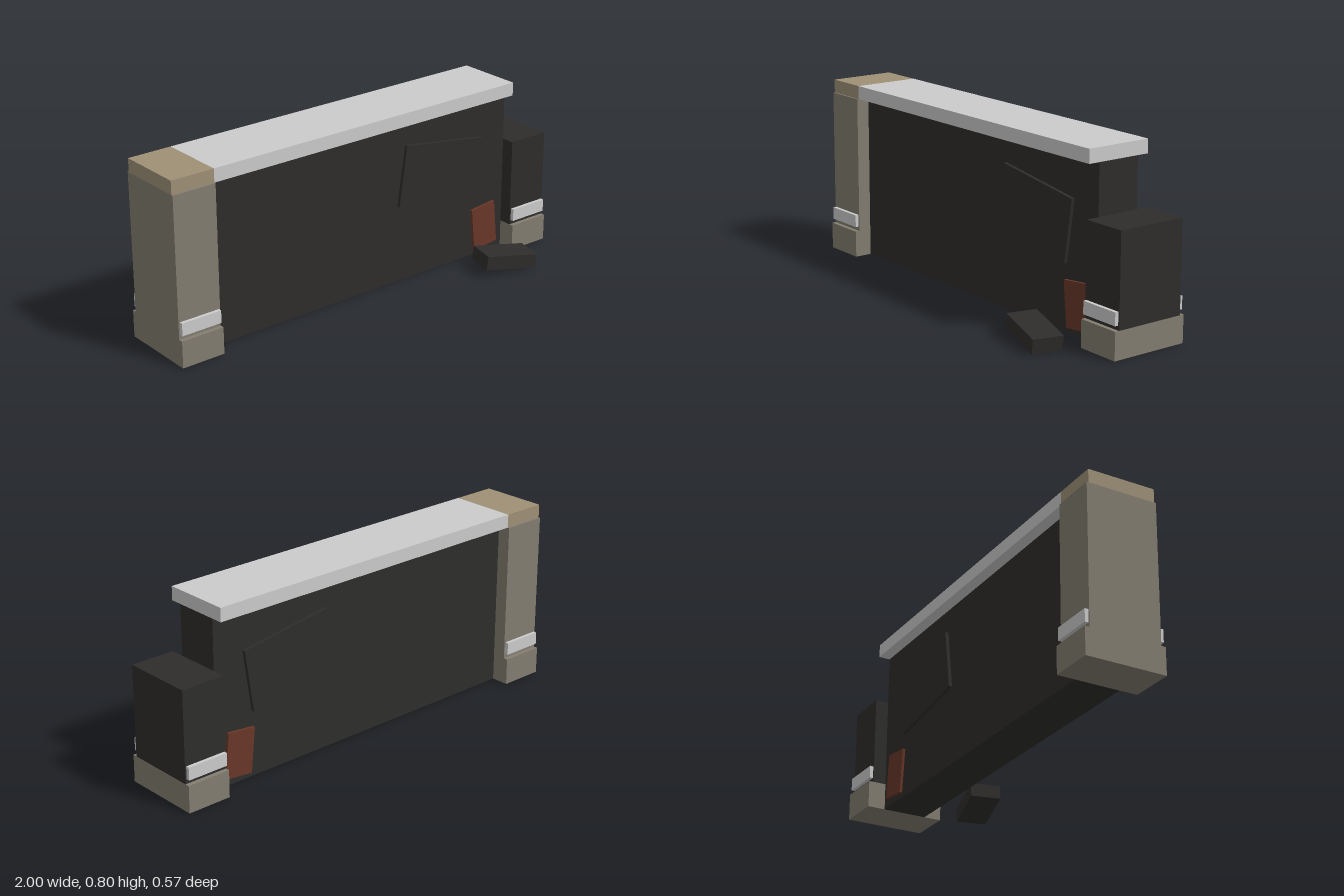
import * as THREE from 'three';

const Z = -0.105; // centre plane of the wall

const mat = (color) => new THREE.MeshStandardMaterial({ color });

export function createModel() {
  const group = new THREE.Group();
  const dark = mat(0x2e2d2b);
  const stone = mat(0x837d71);
  const sand = mat(0x9e9076);
  const rust = mat(0x683728);
  const grey = mat(0xcccccc);

  // Box by size and centre
  function box(name, material, [w, h, d], [x, y, z], parent = group) {
    const mesh = new THREE.Mesh(new THREE.BoxGeometry(w, h, d), material);
    mesh.name = name;
    mesh.position.set(x, y, z);
    parent.add(mesh);
    return mesh;
  }

  // Wall and coping
  box('wall', dark, [1.6, 0.74, 0.2], [0, 0.37, Z]);
  box('coping', grey, [1.6, 0.06, 0.304], [0, 0.77, Z]);
  box('pillarCap', sand, [0.2, 0.06, 0.304], [-0.9, 0.77, Z]);

  // End pillars: the one at +x is broken off short
  for (const [name, x, top, material] of [
    ['wholePillar', -0.9, 0.74, stone],
    ['brokenPillar', 0.9, 0.52, dark],
  ]) {
    const pillar = new THREE.Group();
    pillar.name = name;
    group.add(pillar);
    box('base', stone, [0.2, 0.12, 0.36], [x, 0.06, Z], pillar);
    box('shaft', material, [0.2, top - 0.12, 0.32], [x, (top + 0.12) / 2, Z], pillar);
    // Trim strips on front and back
    for (const side of [1, -1]) {
      box('trim', grey, [0.188, 0.056, 0.016], [x, 0.168, Z + side * 0.168], pillar);
    }
  }

  // Tilted patches showing on both faces of the wall
  box('panel', dark, [0.44, 0.278, 0.231], [0.418, 0.461, Z]).rotation.z = -0.148;
  box('rustPatch', rust, [0.135, 0.2, 0.225], [0.687, 0.13, Z]).rotation.z = 0.1;

  // Fallen block in front
  box('rubble', dark, [0.25, 0.064, 0.134], [0.647, 0.05, 0.187]).rotation.set(0, -0.24, -0.14);

  return group;
}
